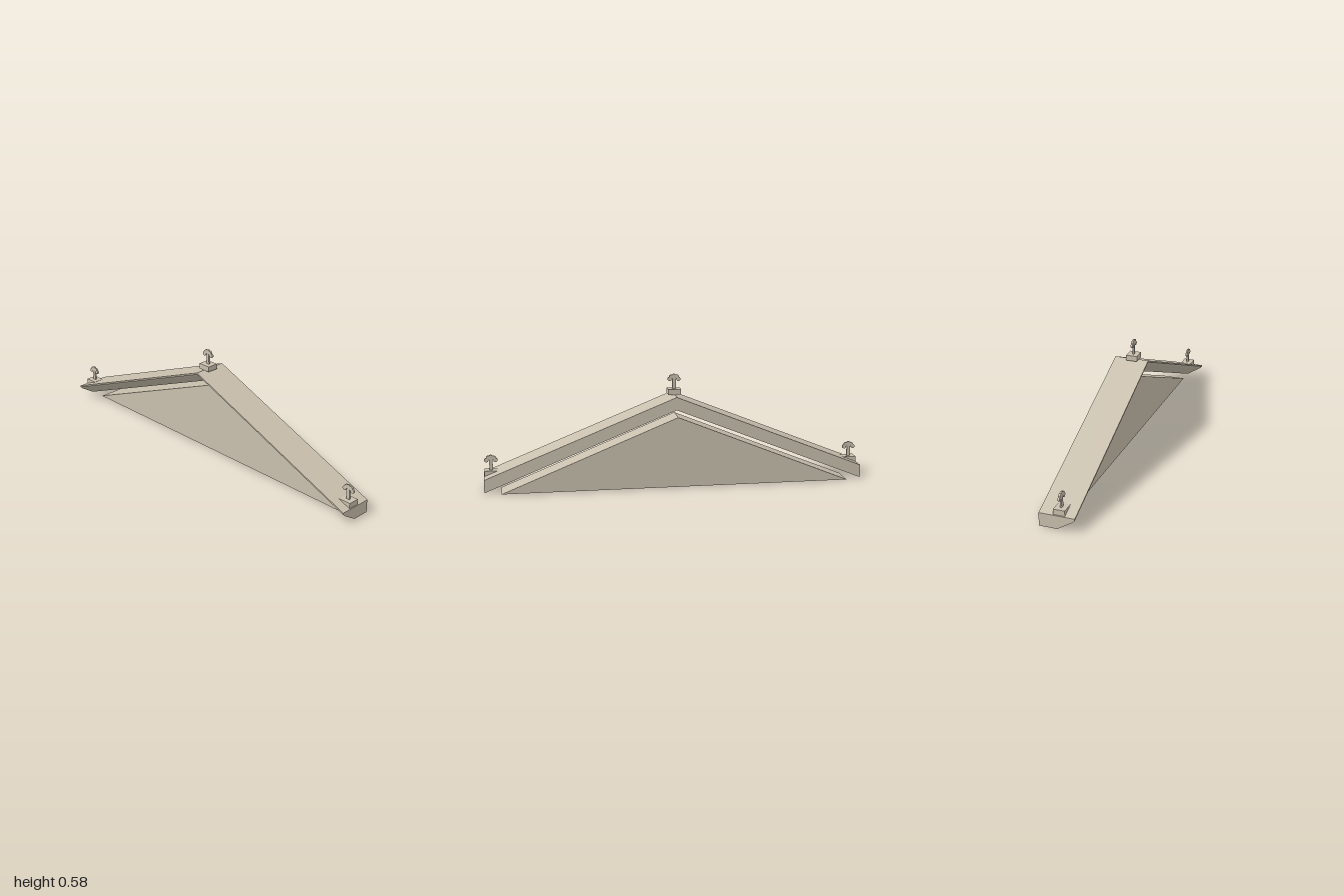
import * as THREE from 'three';

const RISE = 0.402; // height gained from eave to apex

export function createModel() {
  const model = new THREE.Group();
  const stone = new THREE.MeshStandardMaterial({ color: 0xc9c0ae });
  stone.name = 'warm stone';

  const add = (parent, name, geometry) => {
    const mesh = new THREE.Mesh(geometry, stone);
    mesh.name = name;
    parent.add(mesh);
    return mesh;
  };

  // Raking cornice: one moulding profile [z, y], swept across and bent up at the middle
  const profile = [[0.113, 0.068], [0.113, 0.06], [0.1, 0.047], [0.025, 0], [-0.067, 0], [-0.067, 0.068]];
  const section = new THREE.Shape(profile.map(([z, y]) => new THREE.Vector2(-z, y)));
  const cornice = new THREE.ExtrudeGeometry(section, { depth: 2, steps: 2, bevelEnabled: false });
  cornice.translate(0, 0, -1).rotateY(Math.PI / 2);
  const p = cornice.attributes.position;
  for (let i = 0; i < p.count; i++) p.setY(i, p.getY(i) + RISE * (1 - Math.abs(p.getX(i))));
  cornice.computeVertexNormals();
  add(model, 'rakingCornice', cornice);

  // Thick triangular gable panel under the cornice, projecting behind it
  const triangle = new THREE.Shape([
    new THREE.Vector2(-0.912, 0.003), new THREE.Vector2(0.912, 0.003), new THREE.Vector2(0, 0.373),
  ]);
  const panel = new THREE.ExtrudeGeometry(triangle, { depth: 0.137, bevelEnabled: false });
  add(model, 'gablePanel', panel.translate(0, 0, -0.112));

  // Roof ornaments: plinth, stem and a fan of five round lobes, at the apex and both eaves
  const plinth = new THREE.BoxGeometry(0.068, 0.028, 0.059);
  const stem = new THREE.BoxGeometry(0.018, 0.066, 0.009);
  const lobe = new THREE.CylinderGeometry(0.011, 0.011, 0.0095, 16).rotateX(Math.PI / 2);
  const spots = [['apexOrnament', 0, 0.47], ['leftOrnament', 0.962, 0.07], ['rightOrnament', -0.962, 0.07]];
  for (const [name, x, y] of spots) {
    const ornament = new THREE.Group();
    ornament.name = name;
    ornament.position.set(x, y, 0.033);
    add(ornament, 'plinth', plinth).position.y = 0.014;
    add(ornament, 'stem', stem).position.y = 0.059;
    for (let i = 0; i < 5; i++) {
      const a = THREE.MathUtils.degToRad(20 + 35 * i);
      add(ornament, 'fanLobe', lobe).position.set(0.025 * Math.cos(a), 0.071 + 0.025 * Math.sin(a), 0);
    }
    model.add(ornament);
  }
  return model;
}
